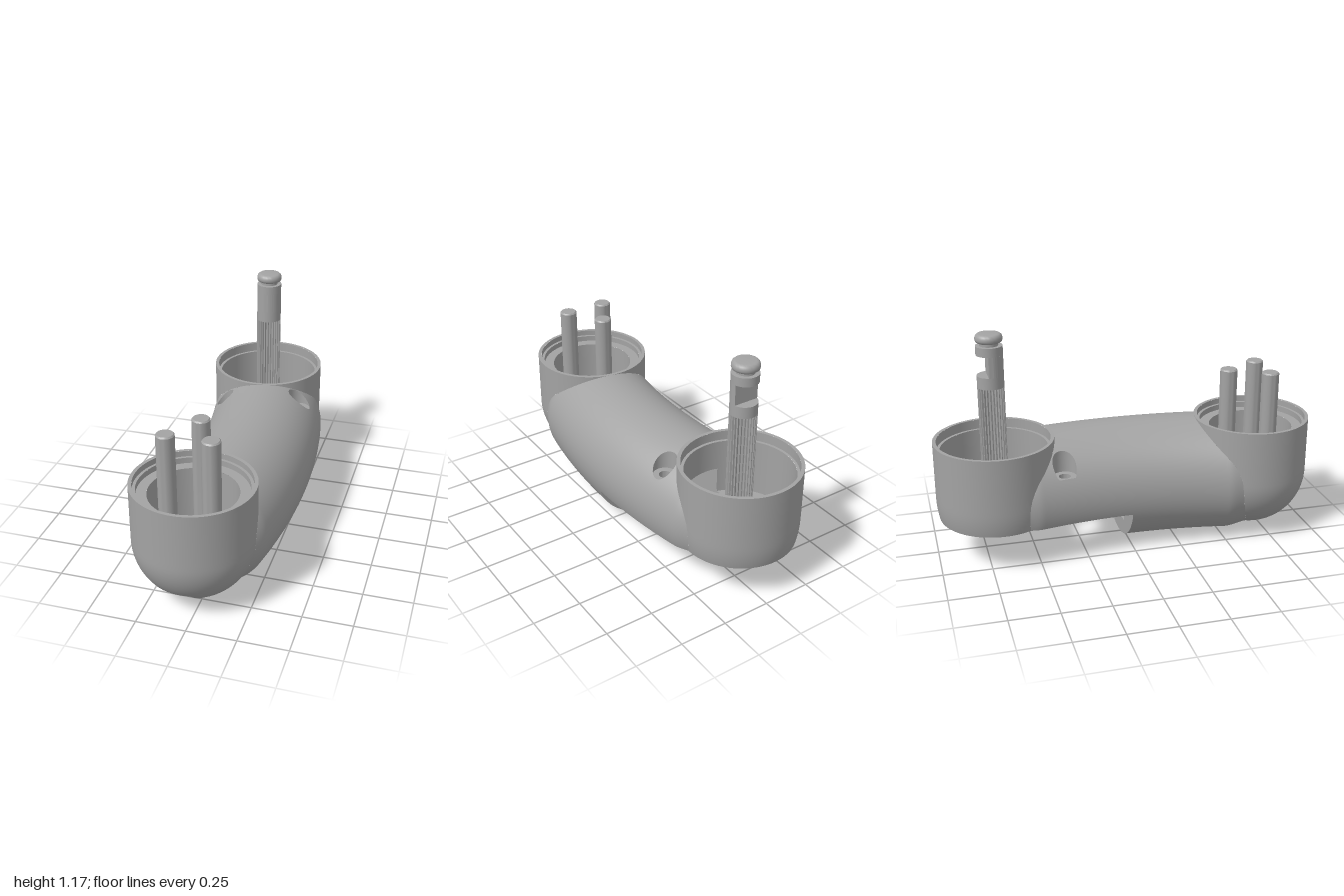
import * as THREE from 'three';
import { toCreasedNormals } from 'three/addons/utils/BufferGeometryUtils.js';

const MID_Y = 0.315, ARC_R = 2.843, ARC_X = 0.035 - ARC_R, ARC_END = 0.697;
const CUP_X = -0.05, CUP_Z = 0.69, CUP_R = 0.305, TOP = 0.63;

// Coordinates along the curved arm: l = sideways offset, s = distance along it
const bend = (l, y, s) => new THREE.Vector3(
  ARC_X + (ARC_R + l) * Math.cos(s / ARC_R), y, (ARC_R + l) * Math.sin(s / ARC_R));
const sideways = p => Math.hypot(p.x - ARC_X, p.z) - ARC_R;
const along = p => ARC_R * Math.atan2(p.z, p.x - ARC_X);
const armRadius = s => 0.315 - 0.03 * THREE.MathUtils.smoothstep(Math.abs(s), 0.55, ARC_END);

// Keep only the parts of a surface where every test is positive
function clip(geometry, tests, flip = false) {
  const g = geometry.index ? geometry.toNonIndexed() : geometry;
  const src = g.attributes.position, out = [];
  const cross = (a, b, f) => {
    const lo = a.clone(), hi = b.clone(), m = new THREE.Vector3();
    for (let i = 0; i < 14; i++) {
      m.addVectors(lo, hi).multiplyScalar(0.5);
      (f(m) >= 0 ? lo : hi).copy(m);
    }
    return lo;
  };
  const e1 = new THREE.Vector3(), e2 = new THREE.Vector3();
  for (let t = 0; t < src.count; t += 3) {
    let poly = [0, 1, 2].map(k => new THREE.Vector3().fromBufferAttribute(src, t + k));
    if (flip) poly.reverse();
    for (const f of tests) {
      const v = poly.map(f);
      if (v.every(d => d >= 0)) continue;
      const next = [];
      poly.forEach((a, i) => {
        const j = (i + 1) % poly.length, b = poly[j];
        if (v[i] >= 0) next.push(a);
        if (v[i] >= 0 && v[j] < 0) next.push(cross(a, b, f));
        if (v[i] < 0 && v[j] >= 0) next.push(cross(b, a, f));
      });
      poly = next;
      if (poly.length < 3) break;
    }
    for (let i = 1; i + 1 < poly.length; i++) {
      const tri = [poly[0], poly[i], poly[i + 1]];
      e1.subVectors(tri[1], tri[0]);
      e2.subVectors(tri[2], tri[0]);
      if (e1.cross(e2).length() > 1e-8) tri.forEach(p => out.push(p.x, p.y, p.z));
    }
  }
  const result = new THREE.BufferGeometry();
  result.setAttribute('position', new THREE.Float32BufferAttribute(out, 3));
  return toCreasedNormals(result, 0.5);
}

// Lathe whose profile is split into short steps
function lathe(points, segments, step = 0.02) {
  const fine = [new THREE.Vector2(...points[0])];
  for (let i = 1; i < points.length; i++) {
    const a = new THREE.Vector2(...points[i - 1]), b = new THREE.Vector2(...points[i]);
    const n = Math.ceil(a.distanceTo(b) / step);
    for (let k = 1; k <= n; k++) fine.push(a.clone().lerp(b, k / n));
  }
  return new THREE.LatheGeometry(fine, segments);
}

// Cutting tools: an inside test and a matching surface
function roundCut(name, x, z, r, y0, y1 = 0.7) {
  return {
    name,
    f: p => Math.max(Math.hypot(p.x - x, p.z - z) - r, y0 - p.y, p.y - y1),
    geo: lathe([[0, y0], [r, y0], [r, y1]], r > 0.1 ? 72 : 32).translate(x, 0, z),
  };
}
function armCut(name, w, y0, y1, s0, s1) {
  const n = d => Math.ceil(d / 0.02);
  const geo = new THREE.BoxGeometry(2 * w, y1 - y0, s1 - s0, n(2 * w), n(y1 - y0), n(s1 - s0));
  geo.translate(0, (y0 + y1) / 2, (s0 + s1) / 2);
  const pos = geo.attributes.position;
  for (let i = 0; i < pos.count; i++) {
    const v = bend(pos.getX(i), pos.getY(i), pos.getZ(i));
    pos.setXYZ(i, v.x, v.y, v.z);
  }
  return {
    name, geo,
    f: p => Math.max(Math.abs(sideways(p)) - w, y0 - p.y, p.y - y1, s0 - along(p), along(p) - s1),
  };
}

// End cup: straight wall above a rounded bottom
function cup(name, z, yc, ry) {
  const profile = [];
  for (let i = 0; i <= 24; i++) {
    const a = i / 24 * Math.PI / 2;
    profile.push([CUP_R * Math.sin(a), yc - ry * Math.cos(a)]);
  }
  profile.push([CUP_R, TOP], [0, TOP]);
  return {
    name,
    geo: lathe(profile, 96, 0.03).translate(CUP_X, 0, z),
    f: p => {
      const r = Math.hypot(p.x - CUP_X, p.z - z);
      if (p.y >= yc) return Math.max(r - CUP_R, p.y - TOP);
      return (Math.hypot(r / CUP_R, (p.y - yc) / ry) - 1) * CUP_R;
    },
  };
}

// Curved round arm between the cups
function arm() {
  const NU = 120, NV = 88, pos = [], index = [];
  for (let i = 0; i <= NU; i++) {
    const s = ARC_END * (2 * i / NU - 1), r = armRadius(s);
    for (let j = 0; j <= NV; j++) {
      const a = j / NV * 2 * Math.PI;
      pos.push(...bend(r * Math.cos(a), MID_Y + r * Math.sin(a), s).toArray());
      if (i < NU && j < NV) {
        const k = i * (NV + 1) + j, m = k + NV + 1;
        index.push(k, k + 1, m, k + 1, m + 1, m);
      }
    }
  }
  const geo = new THREE.BufferGeometry();
  geo.setAttribute('position', new THREE.Float32BufferAttribute(pos, 3));
  geo.setIndex(index);
  return {
    name: 'curvedArm', geo,
    f: p => {
      const s = along(p);
      return Math.max(Math.hypot(sideways(p), p.y - MID_Y) - armRadius(s), Math.abs(s) - ARC_END);
    },
  };
}

export function createModel() {
  const model = new THREE.Group();
  const grey = new THREE.MeshStandardMaterial({ color: 0xa3a3a3 });
  grey.name = 'grey';
  const add = (name, geo, x = 0, y = 0, z = 0) => {
    const mesh = new THREE.Mesh(geo, grey);
    mesh.name = name;
    mesh.position.set(x, y, z);
    model.add(mesh);
  };

  // Housing and everything hollowed out of it
  const solids = [arm(), cup('frontCup', CUP_Z, 0.335, 0.305), cup('backCup', -CUP_Z, 0.335, 0.4)];
  const cuts = [
    armCut('rearUnderside', 0.4, -0.1, 0.22, -1.12, -0.02),
    armCut('frontSlot', 0.115, -0.1, 0.145, 0.59, 1.1),
    armCut('innerChannel', 0.12, 0.1, 0.42, -0.475, 0.35),
    roundCut('frontRimStep', CUP_X, CUP_Z, 0.287, 0.6),
    roundCut('frontShelf', CUP_X, CUP_Z, 0.272, 0.57),
    roundCut('frontPit', CUP_X, CUP_Z, 0.22, 0.2),
    roundCut('frontThroughHole', CUP_X, 0.68, 0.07, -0.1),
    roundCut('backRimStep', CUP_X, -CUP_Z, 0.287, 0.58),
    roundCut('backPit', CUP_X, -CUP_Z, 0.272, 0.28),
    roundCut('postSocket', CUP_X, -CUP_Z, 0.045, 0.1, 0.26),
  ];
  for (const [x, z, y] of [[0.2, -0.42, 0.5], [-0.23, -0.365, 0.46]]) {
    cuts.push(roundCut('screwCounterbore', x, z, 0.06, y), roundCut('screwHole', x, z, 0.03, 0.1));
  }
  for (const s of solids) {
    const others = solids.filter(o => o !== s).concat(cuts);
    add(s.name, clip(s.geo, others.map(o => p => o.f(p) + 1e-5)));
  }
  const inside = p => -Math.min(...solids.map(s => s.f(p)));
  for (const c of cuts) {
    const others = cuts.filter(o => o !== c).map(o => p => o.f(p) + 1e-5);
    add(c.name, clip(c.geo, [inside, ...others], true));
  }

  // Three contact pins
  const pin = toCreasedNormals(lathe([[0, 0.2], [0.045, 0.2], [0.045, 0.888], [0.039, 0.895], [0, 0.895]], 32, 1), 0.5);
  for (const [x, z] of [[-0.05, 0.557], [-0.16, 0.745], [0.06, 0.745]]) add('pin', pin, x, 0, z);

  // Splined post
  const upright = (shape, depth) => new THREE.ExtrudeGeometry(shape,
    { depth, bevelEnabled: false, curveSegments: 40 }).rotateX(-Math.PI / 2);
  const teeth = [], TEETH = 26;
  for (let i = 0; i < TEETH * 4; i++) {
    const a = i / (TEETH * 4) * 2 * Math.PI, r = i % 4 < 2 ? 0.067 : 0.058;
    teeth.push(new THREE.Vector2(r * Math.cos(a), r * Math.sin(a)));
  }
  add('splinedShaft', upright(new THREE.Shape(teeth), 0.63), CUP_X, 0.275, -CUP_Z);

  // Collar with a flat notch at the back, then neck and rounded knob
  const ring = (name, r, y0, y1) => add(name,
    new THREE.CylinderGeometry(r, r, y1 - y0, 40), CUP_X, (y0 + y1) / 2, -CUP_Z);
  ring('lowerCollar', 0.067, 0.905, 0.965);
  const notch = new THREE.Shape().absarc(0, 0, 0.067, Math.PI - 0.226, 2 * Math.PI + 0.226, false);
  add('notchedCollar', toCreasedNormals(upright(notch, 0.105), 0.5), CUP_X, 0.965, -CUP_Z);
  ring('upperCollar', 0.067, 1.07, 1.115);
  ring('neck', 0.046, 1.115, 1.135);
  const knob = [[0, 1.132], [0.058, 1.132], [0.065, 1.137], [0.068, 1.146], [0.068, 1.156],
    [0.064, 1.167], [0.056, 1.174], [0.048, 1.175], [0, 1.175]];
  add('knob', toCreasedNormals(lathe(knob, 40, 1), 0.7), CUP_X, 0, -CUP_Z);
  return model;
}
